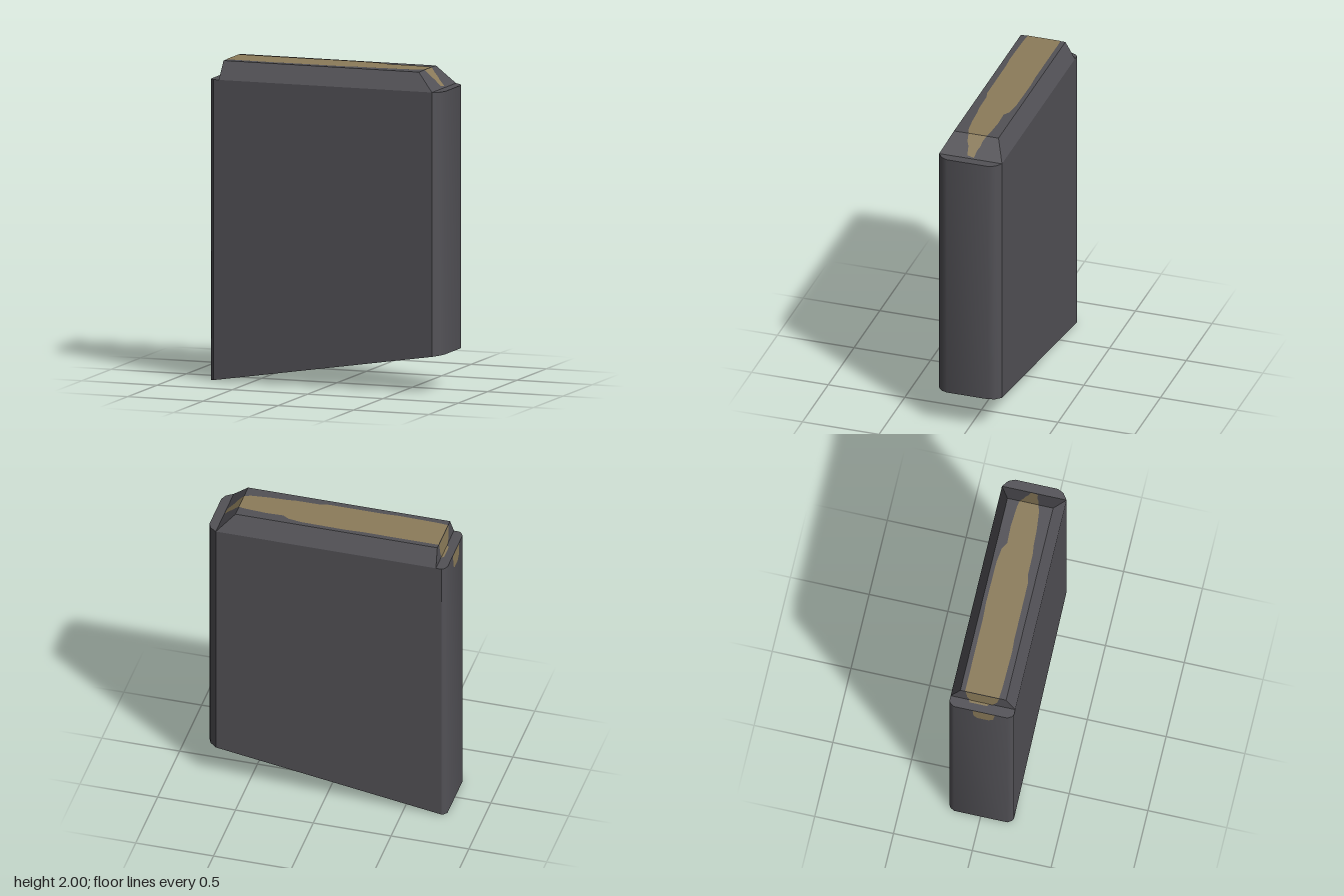
import * as THREE from 'three';
import { toCreasedNormals } from 'three/addons/utils/BufferGeometryUtils.js';
import { ConvexGeometry } from 'three/addons/geometries/ConvexGeometry.js';

const V = (x, y, z) => new THREE.Vector3(x, y, z);
const shapeOf = (pts) => new THREE.Shape(pts.map(([x, y]) => new THREE.Vector2(x, y)));

// Flat painted patch, drawn in the plane spanned by u and v, just above the surface
function patch(name, pts, origin, u, v, material) {
  const n = u.clone().cross(v);
  const geometry = new THREE.ShapeGeometry(shapeOf(pts));
  geometry.applyMatrix4(new THREE.Matrix4().makeBasis(u, v, n).setPosition(origin.addScaledVector(n, 0.002)));
  const mesh = new THREE.Mesh(geometry, material);
  mesh.name = name;
  return mesh;
}

export function createModel() {
  const gray = new THREE.MeshStandardMaterial({ color: 0x525156 });
  gray.name = 'dark gray metal';
  const tan = new THREE.MeshStandardMaterial({ color: 0x8c7c5a });
  tan.name = 'worn brass';

  const group = new THREE.Group();
  group.name = 'magazine';
  const topY = 1.885;

  // Body: rounded outline extruded upwards, with the bottom cut on a slant
  const half = [[-0.77, 0.17], [-0.755, 0.195], [-0.74, 0.205], [0.71, 0.205], [0.752, 0.175], [0.77, 0.135]];
  const outline = [...half, ...half.map(([x, z]) => [x, -z]).reverse()].reverse();
  const bodyGeo = new THREE.ExtrudeGeometry(shapeOf(outline), { depth: topY, bevelEnabled: false });
  bodyGeo.rotateX(-Math.PI / 2);
  const pos = bodyGeo.attributes.position;
  for (let i = 0; i < pos.count; i++) {
    if (pos.getY(i) < 0.01) pos.setY(i, 0.24 * (pos.getX(i) + 0.77) / 1.54);
  }
  const body = new THREE.Mesh(toCreasedNormals(bodyGeo, 0.56), gray);
  body.name = 'body';
  group.add(body);

  // Feed lips: tapered block, upright at one end and sloped at the other
  const corners = [];
  for (const s of [-1, 1]) {
    corners.push(V(-0.705, topY, 0.205 * s), V(0.71, topY, 0.205 * s), V(-0.697, 1.998, 0.145 * s), V(0.6, 1.998, 0.145 * s));
  }
  const lips = new THREE.Mesh(new ConvexGeometry(corners), gray);
  lips.name = 'feedLips';
  group.add(lips);

  // Exposed brass along the top
  const topPts = [[-0.697, -0.1], [-0.62, -0.105], [-0.38, -0.11], [-0.3, -0.105], [0.08, -0.104], [0.13, -0.092],
    [0.28, -0.09], [0.33, -0.083], [0.44, -0.078], [0.56, -0.065], [0.6, -0.05],
    [0.6, 0.068], [0.56, 0.075], [0.42, 0.084], [0.31, 0.08], [0.27, 0.105], [0.18, 0.117], [-0.1, 0.12], [-0.2, 0.115], [-0.697, 0.115]];
  group.add(patch('topBrass', topPts, V(0, 1.998, 0), V(1, 0, 0), V(0, 0, -1), tan));

  // Brass running down the sloped end
  const up = V(-0.11, 0.113, 0).normalize();
  const slopePts = [[-0.05, 0], [-0.045, -0.05], [-0.032, -0.08], [-0.025, -0.14], [0.02, -0.15], [0.03, -0.1], [0.045, -0.07], [0.05, -0.04], [0.068, 0]];
  group.add(patch('slopeBrass', slopePts.reverse().map(([a, b]) => [a, b]), V(0.6, 1.998, 0), V(0, 0, -1), up, tan));

  // Brass on the upright end, its ledge and the wall below
  const endUp = V(0.008, 0.113, 0).normalize();
  group.add(patch('endBrass', [[-0.11, 0.11], [-0.1, 0.04], [-0.08, 0], [0.06, 0], [0.09, 0.05], [0.1, 0.11]],
    V(-0.705, topY, 0), V(0, 0, 1), endUp, tan));
  group.add(patch('ledgeBrass', [[-0.722, -0.03], [-0.706, -0.04], [-0.706, 0.09], [-0.722, 0.08]],
    V(0, topY, 0), V(1, 0, 0), V(0, 0, -1), tan));
  group.add(patch('wallBrass', [[-0.05, 0], [-0.045, -0.08], [-0.02, -0.11], [0.05, -0.11], [0.08, -0.08], [0.09, 0]],
    V(-0.77, topY, 0), V(0, 0, 1), V(0, 1, 0), tan));

  return group;
}
